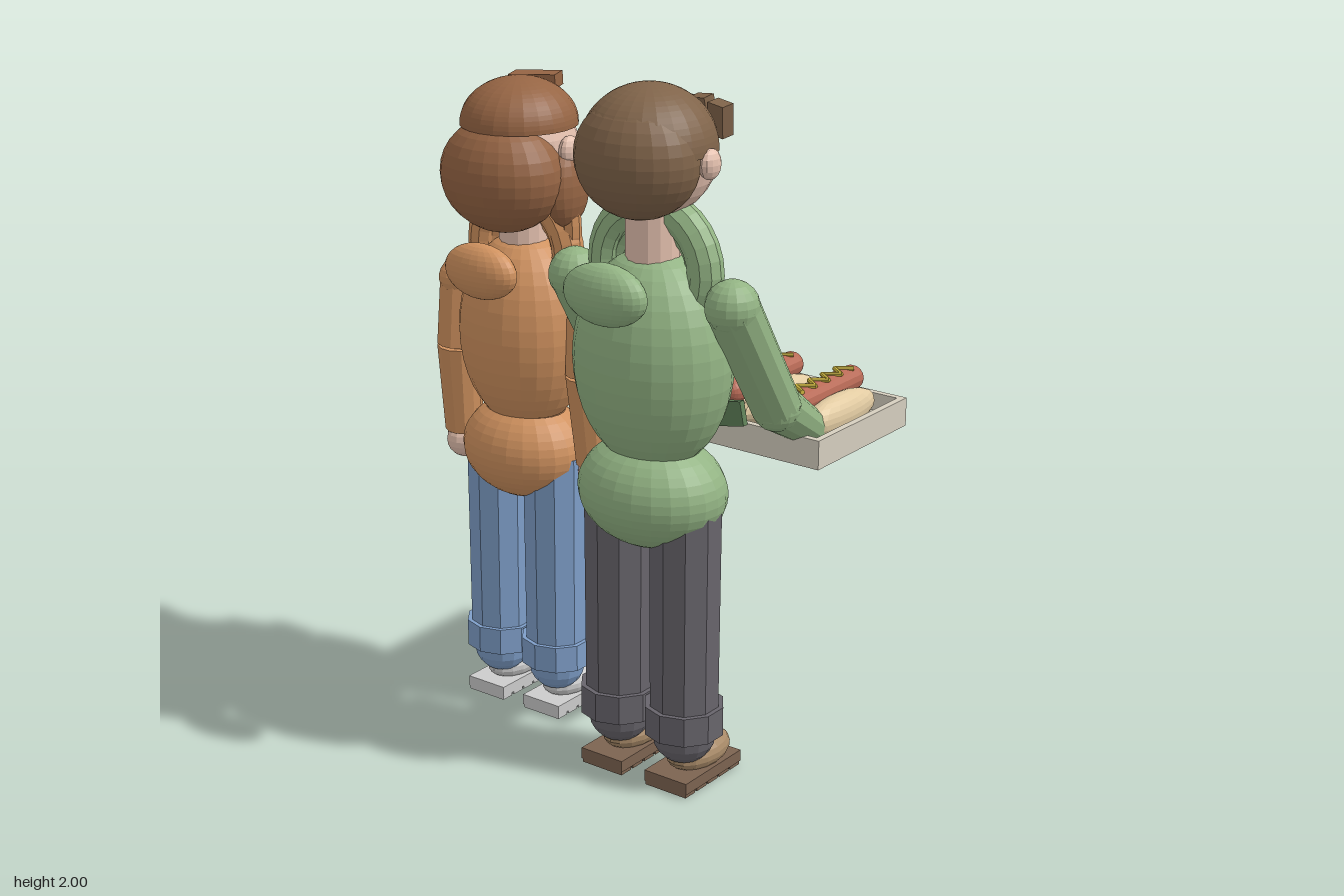
import * as THREE from 'three';

const V = (x, y, z) => new THREE.Vector3(x, y, z);
const mats = {};
const mat = (color) => (mats[color] ??= new THREE.MeshStandardMaterial({ color, flatShading: true, side: THREE.DoubleSide }));

function add(parent, name, geo, color, pos = [0, 0, 0], rot = [0, 0, 0]) {
  const m = new THREE.Mesh(geo, mat(color));
  m.name = name;
  m.position.set(...pos);
  m.rotation.set(...rot);
  parent.add(m);
  return m;
}

// Ellipsoid, optionally cut between two polar angles
function ball(parent, name, color, pos, r, t0 = 0, t1 = Math.PI, seg = 24) {
  const m = add(parent, name, new THREE.SphereGeometry(1, seg, Math.ceil(seg * 0.65), 0, Math.PI * 2, t0, t1 - t0), color, pos);
  m.scale.set(...r);
  return m;
}

const box = (parent, name, color, size, pos, rot) => add(parent, name, new THREE.BoxGeometry(...size), color, pos, rot);

// Tapered tube between two points
function limb(parent, name, color, a, b, ra, rb, sides = 12) {
  const m = add(parent, name, new THREE.CylinderGeometry(rb, ra, a.distanceTo(b), sides), color, a.clone().lerp(b, 0.5).toArray());
  m.quaternion.setFromUnitVectors(V(0, 1, 0), b.clone().sub(a).normalize());
  return m;
}

const SKIN = 0xe6c2b0;

// Hooded jacket, trousers and shoes, facing -z
function body(o) {
  const g = new THREE.Group();
  g.name = 'body';
  const w = o.width;
  ball(g, 'torso', o.jacket, [0, 1.235, 0], [0.235 * w, 0.31, 0.19], 0, 2.51);
  ball(g, 'hips', o.jacket, [0, 0.86, 0], [0.222 * (w + 1) / 2, 0.16, 0.18], 0.67, Math.PI);
  limb(g, 'neck', SKIN, V(0, 1.45, 0), V(0, 1.7, 0), 0.075, 0.075, 14);
  // Hood: two rings around the neck and a pouch behind
  add(g, 'hoodOuter', new THREE.TorusGeometry(0.165, 0.05, 10, 28), o.jacket, [0, 1.495, -0.01]);
  add(g, 'hoodInner', new THREE.TorusGeometry(0.135, 0.036, 10, 28), o.jacket, [0, 1.485, -0.025]);
  ball(g, 'hoodPouch', o.jacket, [0, 1.465, 0.21], [0.132, 0.085, 0.062]);
  // Zip and pockets
  box(g, 'zip', o.trim, [0.02, 0.5, 0.012], [0, 1.23, -0.187]);
  for (const s of [-1, 1]) {
    box(g, 'pocket', o.trim, [0.125, 0.07, 0.02], [s * 0.125, 1.06, -0.165], [0, 0, s * 0.2]);
    // Leg, cuff and shoe
    const x = s * 0.113;
    limb(g, 'leg', o.trousers, V(x, 0.16, 0), V(x, 0.86, 0), 0.1, 0.104, 10);
    add(g, 'cuff', new THREE.CylinderGeometry(0.115, 0.115, 0.085, 10), o.trousers, [x, 0.203, 0]);
    ball(g, 'ankle', o.trousers, [x, 0.15, 0], [0.09, 0.085, 0.09], 0, Math.PI, 14);
    ball(g, 'shoe', o.shoe, [x, 0.075, -0.07], [0.074, 0.052, 0.118], 0, Math.PI, 16);
    box(g, 'sole', o.sole, [0.145, 0.034, 0.265], [x, 0.028, -0.045]);
    for (let i = 0; i < 5; i++) box(g, 'tread', o.sole, [0.14, 0.012, 0.045], [x, 0.006, -0.153 + i * 0.054]);
  }
  return g;
}

// Head with a simple face, centred on its own origin
function head(r) {
  const g = new THREE.Group();
  g.name = 'head';
  ball(g, 'face', SKIN, [0, 0, 0], [r, r * 0.97, r]);
  const onFace = (x, y, d = 0) => [x, y, -Math.sqrt(r * r - x * x - y * y) - d];
  for (const s of [-1, 1]) {
    ball(g, 'eye', 0x2c2422, onFace(s * 0.055, 0.025), [0.016, 0.016, 0.012], 0, Math.PI, 10);
    ball(g, 'cheek', 0xdb9a92, onFace(s * 0.095, -0.03), [0.02, 0.02, 0.016], 0, Math.PI, 10);
    ball(g, 'ear', SKIN, [s * (r + 0.012), 0, 0], [0.026, 0.042, 0.038], 0, Math.PI, 12);
  }
  ball(g, 'nose', SKIN, onFace(0, -0.025), [0.02, 0.02, 0.02], 0, Math.PI, 10);
  add(g, 'mouth', new THREE.TorusGeometry(0.036, 0.008, 6, 18), 0x87453f, onFace(0, -0.07, 0.002), [-0.45, 0, 0]);
  return g;
}

// Shorter figure with long hair and hanging arms
function shortFigure() {
  const g = new THREE.Group();
  g.name = 'shortFigure';
  const jacket = 0xd0925f, hair = 0x966544;
  const b = body({ jacket, trim: 0x9c6840, trousers: 0x7f9fc9, shoe: 0xe8e8e8, sole: 0xcfcfcb, width: 0.92 });
  b.scale.set(0.945, 0.945, 0.9);
  g.add(b);

  const h = head(0.158);
  h.position.y = 1.72;
  g.add(h);
  ball(h, 'hairCap', hair, [0, 0.06, 0.012], [0.167, 0.13, 0.17], 0, 1.6);
  ball(h, 'backHair', hair, [0, -0.075, 0.09], [0.192, 0.165, 0.15]);
  box(h, 'fringe', hair, [0.14, 0.04, 0.07], [-0.035, 0.157, -0.105], [0, 0.35, 0.05]);
  for (const s of [-1, 1]) {
    ball(h, 'sideLock', hair, [s * 0.16, -0.11, 0.0], [0.05, 0.11, 0.08], 0, Math.PI, 16);
    const strand = new THREE.CatmullRomCurve3([V(s * 0.165, -0.12, 0.0), V(s * 0.165, -0.26, -0.01), V(s * 0.12, -0.36, -0.02)]);
    add(h, 'strand', new THREE.TubeGeometry(strand, 8, 0.03, 8), jacket);

    // Arm
    const sh = V(s * 0.238, 1.285, 0), el = V(s * 0.242, 1.08, 0.01), wr = V(s * 0.25, 0.81, -0.01);
    ball(g, 'shoulder', jacket, sh.toArray(), [0.064, 0.064, 0.07], 0, Math.PI, 16);
    limb(g, 'upperArm', jacket, sh, el, 0.063, 0.067);
    limb(g, 'forearm', jacket, el, wr, 0.067, 0.056);
    ball(g, 'hand', SKIN, [s * 0.25, 0.775, -0.01], [0.053, 0.056, 0.053], 0, Math.PI, 14);
  }
  g.position.set(-0.312, 0, 0.08);
  return g;
}

// Taller figure with short hair and arms reaching forward
function tallFigure() {
  const g = new THREE.Group();
  g.name = 'tallFigure';
  const jacket = 0x93b484, hair = 0x80644a;
  g.add(body({ jacket, trim: 0x5f8058, trousers: 0x68656c, shoe: 0xa88a68, sole: 0x7c6350, width: 1 }));

  const h = head(0.17);
  h.position.y = 1.8;
  g.add(h);
  ball(h, 'hairCap', hair, [0, 0.025, 0.02], [0.184, 0.17, 0.186], 0, 1.6);
  ball(h, 'backHair', hair, [0, 0.005, 0.07], [0.182, 0.165, 0.146]);
  // Choppy fringe
  for (let i = -2; i <= 2; i++) {
    box(h, 'fringe', hair, [0.055, 0.09 + (i % 2 ? 0.02 : 0), 0.04], [i * 0.056, 0.085, -0.155 + Math.abs(i) * 0.006], [0.15, -i * 0.08, i % 2 ? 0.12 : -0.1]);
  }
  for (const s of [-1, 1]) {
    const sh = V(s * 0.262, 1.43, 0.005), el = V(s * 0.27, 1.1, -0.2), wr = V(s * 0.237, 0.945, -0.455);
    ball(g, 'shoulder', jacket, sh.toArray(), [0.075, 0.075, 0.075], 0, Math.PI, 16);
    limb(g, 'upperArm', jacket, sh, el, 0.074, 0.07);
    ball(g, 'elbow', jacket, el.toArray(), [0.07, 0.07, 0.07], 0, Math.PI, 16);
    limb(g, 'forearm', jacket, el, wr, 0.07, 0.05);
    ball(g, 'cuffEnd', jacket, wr.toArray(), [0.05, 0.055, 0.06], 0, Math.PI, 14);
  }
  g.position.set(0.27, 0, 0.24);
  return g;
}

// Bun, sausage and zigzag sauce, lengthwise along z
function hotDog() {
  const g = new THREE.Group();
  g.name = 'hotDog';
  const bun = 0xe2cba2;
  ball(g, 'bunBase', bun, [0, 0.975, 0], [0.06, 0.055, 0.212], 0, Math.PI, 18);
  for (const s of [-1, 1]) ball(g, 'bunHalf', bun, [s * 0.058, 0.99, 0], [0.048, 0.058, 0.178], 0, Math.PI, 18);
  add(g, 'sausage', new THREE.CapsuleGeometry(0.038, 0.294, 6, 14), 0xb96a56, [0, 1.042, -0.005], [Math.PI / 2, 0, 0]);
  const pts = Array.from({ length: 9 }, (_, i) => V(i % 2 ? -0.022 : 0.022, 1.08, -0.132 + i * 0.033));
  for (let i = 0; i < 8; i++) limb(g, 'mustard', 0xd9c043, pts[i], pts[i + 1], 0.007, 0.007, 8);
  return g;
}

// Serving tray with three hot dogs
function tray() {
  const g = new THREE.Group();
  g.name = 'tray';
  const c = 0xd6cfbf;
  box(g, 'trayFloor', c, [0.7, 0.03, 0.46], [0, 0.922, 0]);
  for (const s of [-1, 1]) {
    box(g, 'sideRim', c, [0.02, 0.085, 0.46], [s * 0.34, 0.9475, 0]);
    box(g, 'endRim', c, [0.66, 0.085, 0.02], [0, 0.9475, s * 0.22]);
  }
  for (const x of [-0.207, 0, 0.207]) {
    const d = hotDog();
    d.position.x = x;
    g.add(d);
  }
  g.position.set(0.27, 0, -0.282);
  return g;
}

export function createModel() {
  const model = new THREE.Group();
  model.name = 'figuresWithTray';
  model.add(shortFigure(), tallFigure(), tray());
  return model;
}
